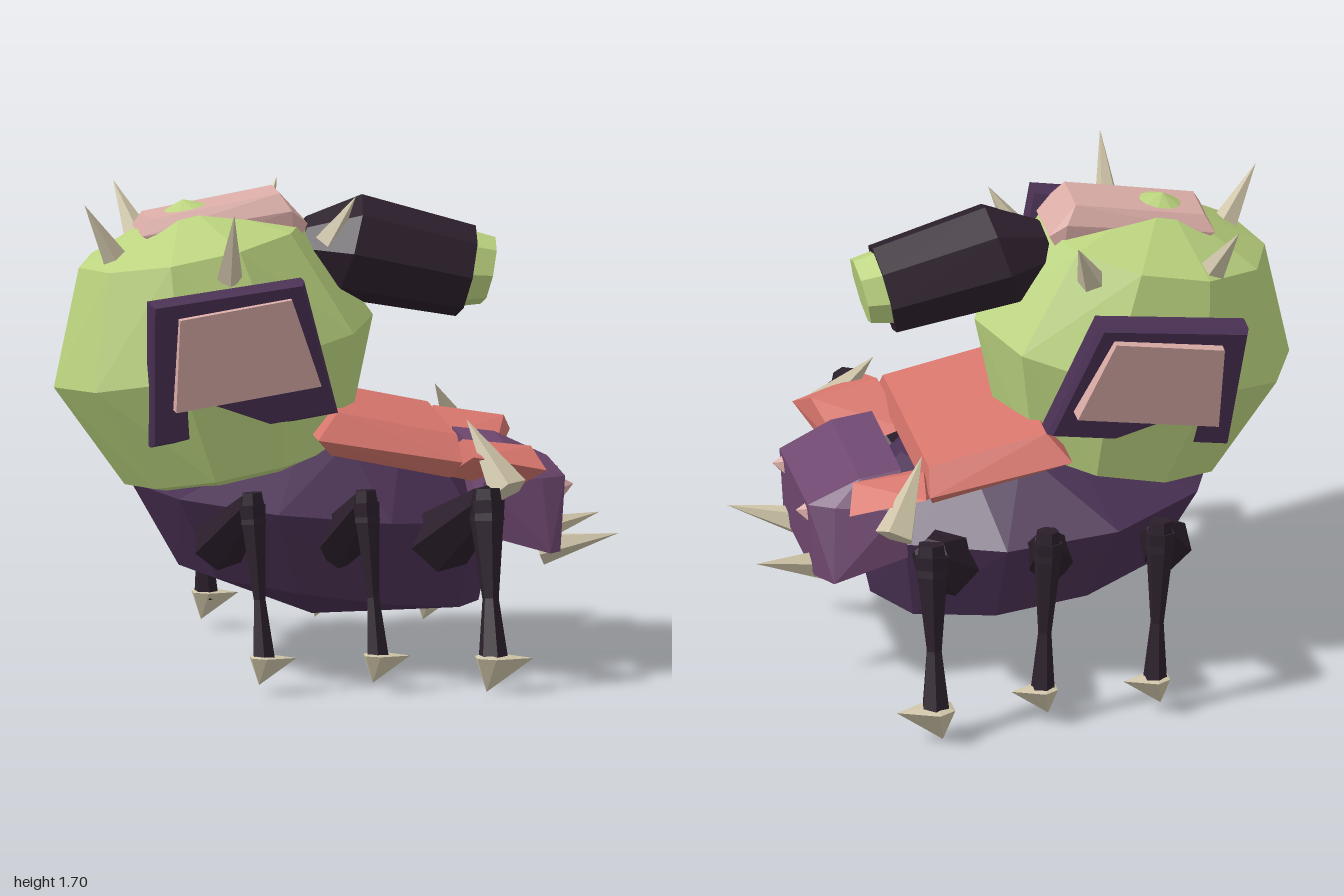
import * as THREE from 'three';
import { ConvexGeometry } from 'three/addons/geometries/ConvexGeometry.js';

const mat = (name, color) => {
  const m = new THREE.MeshStandardMaterial({ color });
  m.name = name;
  return m;
};
const V = (x, y, z) => new THREE.Vector3(x, y, z);

export function createModel() {
  const green = mat('lime green', 0xbbd47f);
  const purple = mat('dark purple', 0x4a3154);
  const plum = mat('plum', 0x6f4870);
  const red = mat('coral red', 0xd8766d);
  const pink = mat('dusty pink', 0xdaaca6);
  const dark = mat('near black', 0x2b1f2b);
  const bone = mat('bone', 0xcfc4a8);
  const model = new THREE.Group();
  model.name = 'beetleCreature';

  const add = (name, geometry, material) => {
    const mesh = new THREE.Mesh(geometry, material);
    mesh.name = name;
    model.add(mesh);
    return mesh;
  };
  // Faceted solid around a set of corner points
  const hull = (name, pts, material) => add(name, new ConvexGeometry(pts), material);
  // Corner list mirrored across z = 0
  const both = (list) => list.flatMap(([x, y, z]) => [V(x, y, z), V(x, y, -z)]);
  // Tilted elliptical ring spanning two points of the side profile
  const ring = (x0, y0, x1, y1, rz, n = 10) => Array.from({ length: n }, (_, i) => {
    const a = (i / n) * Math.PI * 2, t = (1 - Math.cos(a)) / 2;
    return V(x1 + (x0 - x1) * t, y1 + (y0 - y1) * t, rz * Math.sin(a));
  });
  // Flat-shaded tapered rod from a to b
  const rod = (name, a, b, ra, rb, sides, material) => {
    const dir = b.clone().sub(a);
    let g = new THREE.CylinderGeometry(rb, ra, dir.length(), sides);
    g.applyQuaternion(new THREE.Quaternion().setFromUnitVectors(V(0, 1, 0), dir.clone().normalize()));
    g.translate((a.x + b.x) / 2, (a.y + b.y) / 2, (a.z + b.z) / 2);
    g = g.toNonIndexed();
    g.computeVertexNormals();
    return add(name, g, material);
  };
  const spike = (name, base, tip, r, material = bone) => rod(name, V(...base), V(...tip), r, 0, 5, material);

  // Body shell and bulbous upper sac
  hull('body', [
    ...ring(-0.18, 0.86, 0.42, 0.74, 0.26),
    ...ring(-0.72, 0.65, 0.6, 0.52, 0.565),
    ...ring(-0.55, 0.35, 0.53, 0.2, 0.42),
    V(-0.07, 0.165, 0),
  ], purple);
  hull('sac', [
    V(-0.315, 0.57, 0),
    ...ring(-0.745, 0.645, 0.06, 0.81, 0.39),
    ...ring(-1, 1.0, 0.15, 1.24, 0.505),
    ...ring(-0.91, 1.43, -0.1, 1.59, 0.4),
    V(-0.537, 1.67, 0),
  ], green);
  hull('crownPlate', both([
    [-0.67, 1.615, 0.1], [-0.2, 1.7, 0.1], [-0.7, 1.56, 0.14],
    [-0.16, 1.64, 0.14], [-0.1, 1.59, 0.11], [-0.6, 1.5, 0.14], [-0.15, 1.5, 0.13],
  ]), pink);

  // Cannon: bent neck, barrel and muzzle
  const section = (x, y, r, tilt) => Array.from({ length: 8 }, (_, i) => {
    const a = (i / 8) * Math.PI * 2;
    return V(x + tilt * r * Math.cos(a), y + r * Math.cos(a), r * 1.1 * Math.sin(a));
  });
  hull('cannonBarrel', [
    ...section(-0.12, 1.5, 0.1, 0.3),
    ...section(0.055, 1.49, 0.185, 0.3),
    ...section(0.485, 1.39, 0.163, 0.22),
  ], dark);
  hull('cannonMuzzle', [...section(0.46, 1.4, 0.14, 0.22), ...section(0.565, 1.39, 0.12, 0.22)], green);

  // Snout and back saddle
  hull('snout', both([
    [0.47, 0.79, 0.25], [0.62, 0.77, 0.25], [0.72, 0.68, 0.29], [0.81, 0.68, 0.24],
    [0.74, 0.42, 0.37], [0.79, 0.41, 0.26], [0.47, 0.5, 0.37], [0.5, 0.68, 0.36],
  ]), plum);
  hull('saddle', both([
    [-0.03, 0.95, 0.39], [0.4, 0.86, 0.39], [-0.11, 0.86, 0.465], [0.41, 0.77, 0.465],
    [-0.05, 0.79, 0.36], [0.38, 0.7, 0.36],
  ]), red);

  // Spikes scattered over the sac
  [
    [[-0.42, 1.44, 0.38], [-0.42, 1.69, 0.52]],
    [[-0.66, 1.5, -0.31], [-0.73, 1.68, -0.41]],
    [[-0.21, 1.5, -0.31], [-0.14, 1.68, -0.42]],
    [[-0.03, 1.52, 0.1], [0.07, 1.69, 0.14]],
    [[-0.79, 1.47, 0.11], [-0.91, 1.68, 0.15]],
  ].forEach(([base, tip]) => spike('sacSpike', base, tip, 0.05));

  // Slanted side panels: outer surface leans outward with height
  const lean = (y) => 0.635 + (y - 1.45) * 0.4;
  const frame = [[-0.73, 1.38], [-0.18, 1.46], [-0.03, 0.95], [-0.7, 0.83]];
  const pane = [[-0.63, 1.33], [-0.23, 1.4], [-0.11, 1.07], [-0.63, 0.98]];

  // Legs: hip, knee, foot and thickness
  const legs = [
    [[-0.46, 0.48, 0.4], [-0.38, 0.67, 0.7], [-0.345, 0.11, 0.77], 1],
    [[-0.03, 0.48, 0.42], [0.03, 0.67, 0.7], [0.065, 0.11, 0.77], 1],
    [[0.34, 0.48, 0.4], [0.46, 0.67, 0.72], [0.47, 0.1, 0.845], 1.25],
  ];

  for (const s of [1, -1]) {
    const side = s > 0 ? 'left' : 'right';
    const at = ([x, y, z]) => V(x, y, z * s);

    // Panels
    const slab = (quad, offset, depth, inset) => quad.flatMap(([x, y]) => {
      const z = lean(y) + offset(y);
      const cx = -0.4, cy = 1.15;
      return [
        at([x, y, z - depth]), at([x, y, z - 0.035]),
        at([x + (cx - x) * inset, y + (cy - y) * inset, z]),
      ];
    });
    hull(side + 'Panel', slab(frame, () => 0, 0.12, 0.04), purple);
    hull(side + 'PanelPane', slab(pane, (y) => 0.04 + (1.4 - y) * 0.1, 0.12, 0), pink);

    // Shoulder block sloping down and inward, with its large spike
    hull(side + 'ShoulderBlock', [
      [0.42, 0.845, 0.4], [0.44, 0.8, 0.54], [0.71, 0.74, 0.49], [0.67, 0.81, 0.36],
      [0.37, 0.75, 0.17], [0.37, 0.7, 0.31], [0.62, 0.64, 0.27], [0.6, 0.69, 0.13],
    ].map(at), red);
    spike(side + 'ShoulderSpike', [0.56, 0.68, 0.57 * s], [0.43, 0.92, 0.42 * s], 0.075);

    // Face: tusk and eye stud
    spike(side + 'Tusk', [0.73, 0.41, 0.18 * s], [1, 0.47, 0.25 * s], 0.06);
    spike(side + 'EyeStud', [0.79, 0.635, 0.2 * s], [0.845, 0.645, 0.2 * s], 0.048, pink);

    // Legs with pinched shins and pointed claws
    for (const [hip, knee, foot, k] of legs) {
      const h = at(hip), n = at(knee), f = at(foot);
      const mid = n.clone().lerp(f, 0.6);
      rod(side + 'Thigh', h, n, 0.1 * k, 0.05 * k, 6, dark);
      rod(side + 'Knee', n.clone().add(V(0, 0.045, 0)), n.clone().lerp(f, 0.12), 0.04 * k, 0.052 * k, 6, dark);
      rod(side + 'UpperShin', n, mid, 0.055 * k, 0.024 * k, 6, dark);
      rod(side + 'LowerShin', mid, f, 0.024 * k, 0.045 * k, 6, dark);
      const claw = [[-0.05, 0.02, 0.03], [-0.05, 0.02, -0.03], [0, 0.02, 0.06], [0, 0.02, -0.06],
        [0.115, 0.015, 0], [-0.02, -0.08, 0], [-0.01, 0.035, 0]];
      hull(side + 'Claw', claw.map(([x, y, z]) => V(f.x + x * k, f.y + y * k, f.z + z * k)), bone);
    }
  }
  return model;
}
